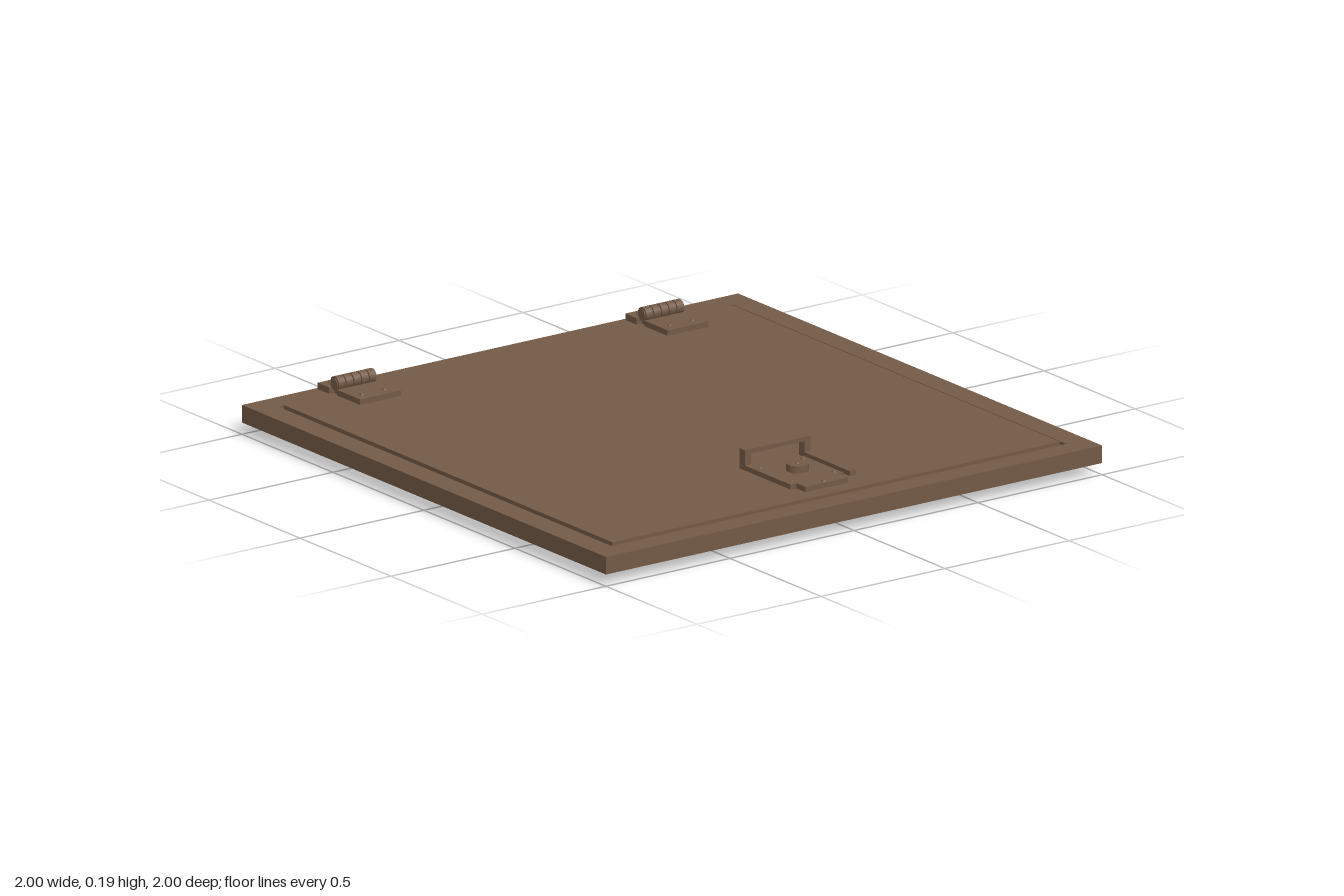
import * as THREE from 'three';

const wood = new THREE.MeshStandardMaterial({ color: 0x735a46 });
wood.name = 'brown';

function add(parent, name, geometry, x = 0, y = 0, z = 0) {
  const mesh = new THREE.Mesh(geometry, wood);
  mesh.name = name;
  mesh.position.set(x, y, z);
  parent.add(mesh);
  return mesh;
}

// Box given by its limits on each axis
function slab(parent, name, [x0, x1], [y0, y1], [z0, z1]) {
  return add(parent, name, new THREE.BoxGeometry(x1 - x0, y1 - y0, z1 - z0),
    (x0 + x1) / 2, (y0 + y1) / 2, (z0 + z1) / 2);
}

// Low screw head standing on a plate
function screw(parent, x, y, z) {
  add(parent, 'screw', new THREE.CylinderGeometry(0.007, 0.009, 0.005, 12), x, y + 0.0025, z);
}

function rect(path, h) {
  path.moveTo(-h, -h);
  path.lineTo(h, -h);
  path.lineTo(h, h);
  path.lineTo(-h, h);
  path.closePath();
  return path;
}

function makeHinge() {
  const hinge = new THREE.Group();
  hinge.name = 'hinge';
  const half = 0.082, barrelY = 0.14, barrelZ = -0.905;
  slab(hinge, 'doorLeaf', [-half, half], [0.105, 0.125], [-0.885, -0.757]);
  slab(hinge, 'frameLeaf', [-half, half], [0.1, 0.122], [-0.99, -0.928]);

  // Interlocking knuckles around a pin, each tied to one leaf
  const step = 0.156 / 5;
  for (let i = 0; i < 5; i++) {
    const x = (i - 2) * step;
    const knuckle = add(hinge, 'knuckle',
      new THREE.CylinderGeometry(0.024, 0.024, step - 0.004, 20), x, barrelY, barrelZ);
    knuckle.rotation.z = Math.PI / 2;
    const w = step / 2 - 0.002;
    const reach = i % 2 ? [-0.93, -0.905] : [-0.905, -0.88];
    slab(hinge, 'knuckleWeb', [x - w, x + w], [0.108, 0.124], reach);
  }
  const pin = add(hinge, 'pin', new THREE.CylinderGeometry(0.018, 0.018, 0.158, 16), 0, barrelY, barrelZ);
  pin.rotation.z = Math.PI / 2;

  for (const x of [-0.045, 0.045]) {
    screw(hinge, x, 0.125, -0.795);
    screw(hinge, x, 0.122, -0.968);
  }
  return hinge;
}

function makeLatch() {
  const latch = new THREE.Group();
  latch.name = 'latch';
  // Base plate with a tongue toward the front edge
  slab(latch, 'basePlate', [-0.105, 0.105], [0.108, 0.126], [0.578, 0.8]);
  slab(latch, 'tongue', [-0.085, 0.085], [0.108, 0.126], [0.8, 0.85]);
  add(latch, 'disc', new THREE.CylinderGeometry(0.037, 0.037, 0.024, 28), 0, 0.138, 0.69);
  screw(latch, 0, 0.15, 0.69);
  screw(latch, 0, 0.126, 0.835);
  for (const x of [-0.085, 0.085])
    for (const z of [0.605, 0.775]) screw(latch, x, 0.126, z);

  // Upright handle on two side arms
  for (const s of [-1, 1]) {
    const xs = [s * 0.12 - 0.012, s * 0.12 + 0.012];
    slab(latch, 'handleArm', xs, [0.121, 0.138], [0.58, 0.83]);
    slab(latch, 'handlePost', xs, [0.121, 0.175], [0.55, 0.58]);
  }
  slab(latch, 'handleBar', [-0.132, 0.132], [0.175, 0.19], [0.55, 0.58]);
  return latch;
}

export function createModel() {
  const model = new THREE.Group();
  model.name = 'trapdoor';

  // Square frame around the door, with a narrow open gap
  const outline = rect(new THREE.Shape(), 1);
  outline.holes.push(rect(new THREE.Path(), 0.916));
  const frame = new THREE.ExtrudeGeometry(outline, { depth: 0.06, bevelEnabled: false });
  frame.rotateX(-Math.PI / 2);
  add(model, 'frame', frame, 0, 0.04, 0);
  slab(model, 'doorPanel', [-0.902, 0.902], [0.04, 0.106], [-0.902, 0.902]);

  // Mirrored battens beneath and hinges along the back
  for (const s of [-1, 1]) {
    slab(model, 'batten', [s * 0.58 - 0.022, s * 0.58 + 0.022], [0, 0.04], [-0.83, 0.83]);
    const hinge = makeHinge();
    hinge.position.x = s * 0.62;
    model.add(hinge);
  }
  model.add(makeLatch());
  return model;
}
